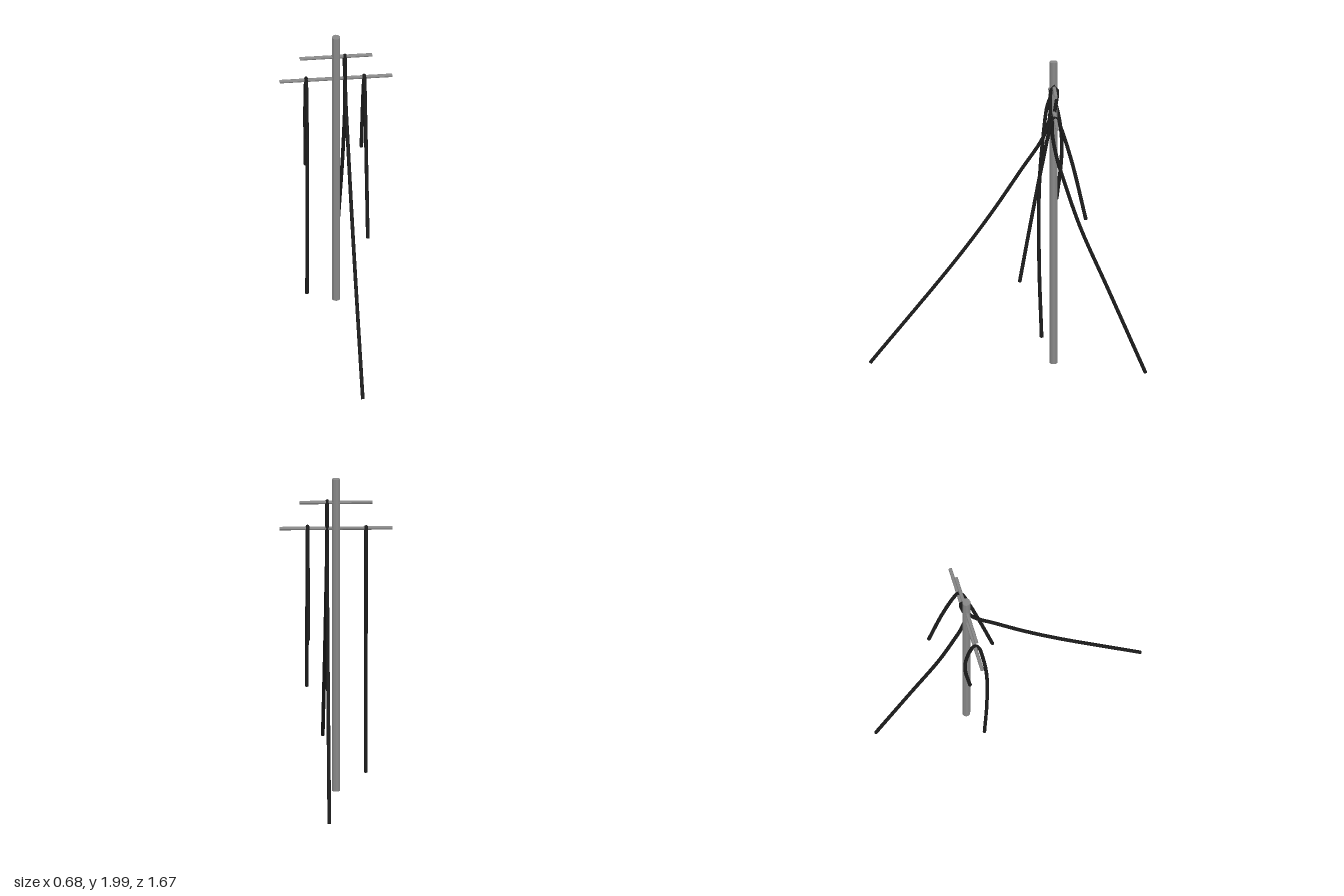
import * as THREE from 'three';

const POLE_Z = -0.277;

export function createModel() {
  const model = new THREE.Group();
  const grey = new THREE.MeshStandardMaterial({ color: 0x888888, flatShading: true });
  const black = new THREE.MeshStandardMaterial({ color: 0x1c1c1c });

  const add = (name, geometry, material) => {
    const mesh = new THREE.Mesh(geometry, material);
    mesh.name = name;
    model.add(mesh);
    return mesh;
  };

  // Upright pole
  add('pole', new THREE.CylinderGeometry(0.025, 0.025, 1.93, 10), grey)
    .position.set(0, 1.035, POLE_Z);

  // Horizontal crossbars through the pole
  for (const [name, y, length] of [['upperCrossbar', 1.855, 0.434], ['lowerCrossbar', 1.695, 0.675]]) {
    const bar = add(name, new THREE.CylinderGeometry(0.011, 0.011, length, 8), grey);
    bar.rotation.z = Math.PI / 2;
    bar.position.set(0, y, POLE_Z);
  }

  // Cables draped over the crossbars: [z, y] from the front end to the back end
  const addCable = (name, x, path) => {
    const curve = new THREE.CatmullRomCurve3(path.map(([z, y]) => new THREE.Vector3(x, y, z)));
    const radius = 0.011;
    const cable = new THREE.Group();
    cable.name = name;
    cable.add(new THREE.Mesh(new THREE.TubeGeometry(curve, 120, radius, 8), black));
    // Closed ends
    for (const [t, dir] of [[0, -1], [1, 1]]) {
      const cap = new THREE.Mesh(new THREE.CircleGeometry(radius, 8), black);
      const point = curve.getPointAt(t);
      cap.position.copy(point);
      cap.lookAt(point.clone().addScaledVector(curve.getTangentAt(t), dir));
      cable.add(cap);
    }
    model.add(cable);
  };

  addCable('centreCable', 0.053, [
    [0.825, 0.118], [0.323, 0.75], [0.106, 1.05], [-0.074, 1.325], [-0.212, 1.54], [-0.25, 1.66],
    [-0.259, 1.84], [-0.277, 1.864], [-0.295, 1.84], [-0.285, 1.73], [-0.264, 1.6],
    [-0.292, 1.41], [-0.339, 1.246], [-0.434, 0.955], [-0.603, 0.548], [-0.825, 0.012],
  ]);
  addCable('rightCable', -0.18, [
    [-0.217, 0.165], [-0.202, 0.65], [-0.203, 1.13], [-0.226, 1.45], [-0.254, 1.66],
    [-0.277, 1.708], [-0.301, 1.66], [-0.334, 1.48], [-0.336, 1.315], [-0.307, 1.05],
  ]);
  addCable('leftCable', 0.17, [
    [-0.063, 0.66], [-0.138, 1.087], [-0.2, 1.42], [-0.254, 1.67],
    [-0.277, 1.708], [-0.303, 1.66], [-0.376, 1.42], [-0.46, 1.05],
  ]);

  return model;
}
